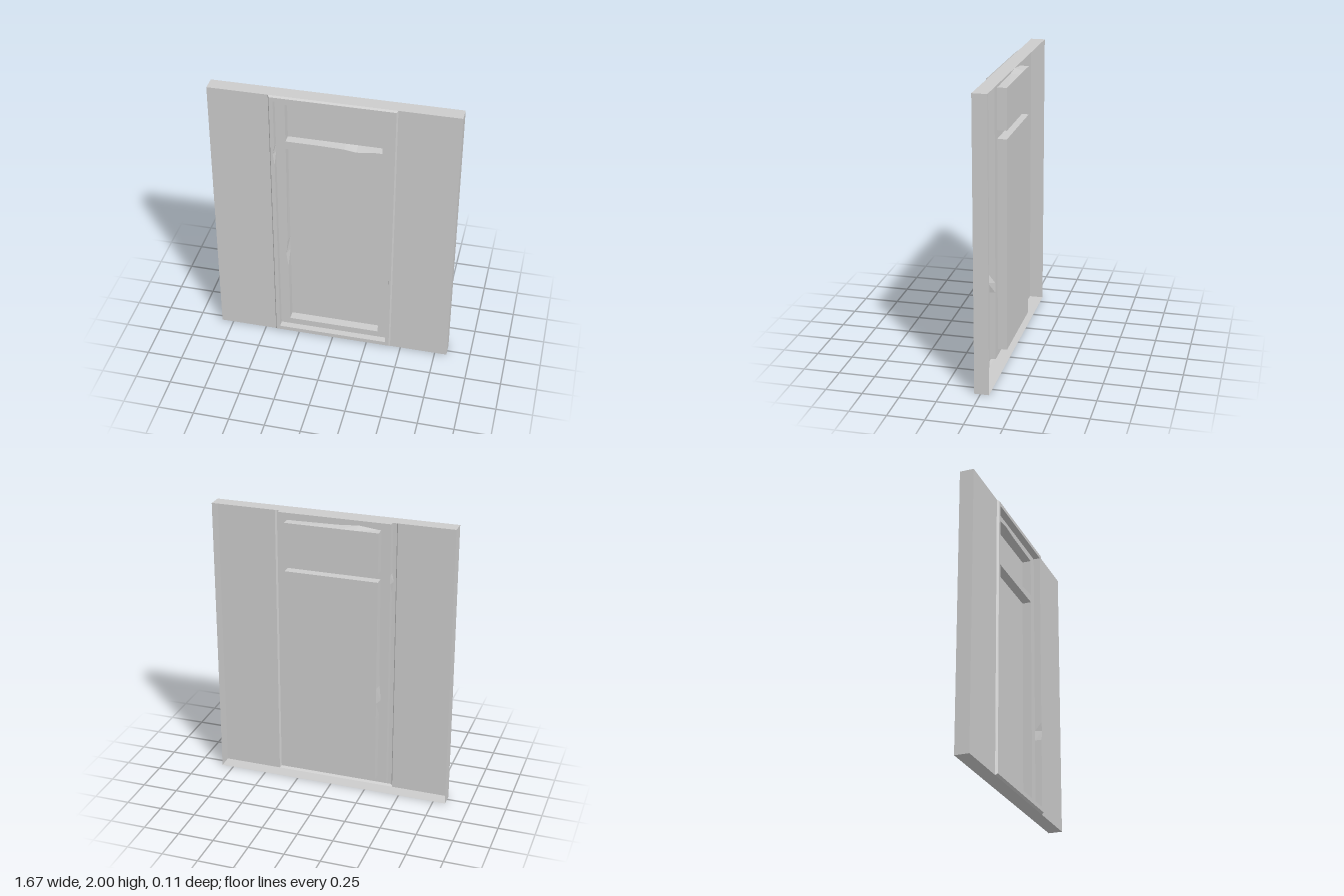
import * as THREE from 'three';

const mat = new THREE.MeshStandardMaterial({ color: 0xcccccc, flatShading: true, side: THREE.DoubleSide });

// Depths of the layers, back to front
const Z = { back: -0.058, panel: -0.056, door: 0.008, wall: 0.041, frame: 0.056 };

// Rectangle outline, counter-clockwise. Chips are [position along side, outward depth].
function outline(x, y0, y1, chips = {}, depth = 1) {
  const { bottom = [], right = [], top = [], left = [] } = chips;
  const p = (a, b) => new THREE.Vector2(a, b);
  return [
    p(-x, y0), ...bottom.map(([t, d]) => p(t, y0 - d * depth)),
    p(x, y0), ...right.map(([t, d]) => p(x + d * depth, t)),
    p(x, y1), ...top.map(([t, d]) => p(t, y1 + d * depth)),
    p(-x, y1), ...left.map(([t, d]) => p(-x - d * depth, t)),
  ];
}

// Band of quads joining two outlines at different depths
function band(name, a, za, b, zb) {
  const pos = [];
  a.forEach((p, i) => {
    const j = (i + 1) % a.length;
    const A = [p.x, p.y, za], B = [b[i].x, b[i].y, zb];
    const C = [b[j].x, b[j].y, zb], D = [a[j].x, a[j].y, za];
    pos.push(...A, ...B, ...C, ...A, ...C, ...D);
  });
  const g = new THREE.BufferGeometry();
  g.setAttribute('position', new THREE.Float32BufferAttribute(pos, 3));
  g.computeVertexNormals();
  return named(name, g);
}

// Flat face filling an outline, with optional holes
function face(name, points, z, holes = []) {
  const s = new THREE.Shape(points);
  holes.forEach((h) => s.holes.push(new THREE.Path(h)));
  return named(name, new THREE.ShapeGeometry(s).translate(0, 0, z));
}

function named(name, geometry) {
  const m = new THREE.Mesh(geometry, mat);
  m.name = name;
  return m;
}

export function createModel() {
  const model = new THREE.Group();
  model.name = 'doorInWall';

  // Wall: open-backed shell with a flat face on each side of the door
  const W = 0.835, F = 0.425;
  const wallEdge = outline(W, 0, 2);
  model.add(band('wallEdges', wallEdge, Z.wall, wallEdge, Z.back));
  for (const s of [-1, 1]) {
    const g = new THREE.PlaneGeometry(W - F, 2).translate(s * (W + F) / 2, 1, Z.wall);
    model.add(named(s < 0 ? 'wallRight' : 'wallLeft', g));
  }

  // Door frame: bevelled outer rim, flat front, chipped inner edge
  const frameChips = {
    right: [[0.53, 0], [0.6, 0.012], [0.66, 0]],
    left: [[1.61, 0], [1.55, 0.011], [1.47, 0]],
  };
  const rim = outline(0.416, 0.012, 1.992);
  const opening = outline(0.39, 0.042, 1.965, frameChips);
  const doorEdge = outline(0.39, 0.042, 1.965, frameChips, 0);
  model.add(band('frameBevel', rim, Z.frame, outline(F, 0, 2), Z.wall));
  model.add(face('frameFront', rim, Z.frame, [opening]));
  model.add(band('frameReveal', doorEdge, Z.door, opening, Z.frame));

  // Door: two sunken panels whose front edges are chipped
  const panels = [
    {
      name: 'upperPanel', y0: 1.635, y1: 1.917,
      chips: {
        bottom: [[-0.11, 0], [0.07, 0.004], [0.15, 0.016], [0.27, 0]],
        top: [[0.27, 0], [-0.05, 0.006], [-0.17, 0.016], [-0.31, 0]],
      },
    },
    {
      name: 'lowerPanel', y0: 0.09, y1: 1.577,
      chips: { left: [[1.42, 0], [0.8, 0.004], [0.69, 0.015], [0.58, 0.003], [0.2, 0]] },
    },
  ];
  const holes = panels.map(({ name, y0, y1, chips }) => {
    const front = outline(0.325, y0, y1, chips);
    const back = outline(0.325, y0, y1, chips, 0);
    model.add(band(name + 'Sides', back, Z.panel, front, Z.door));
    model.add(face(name, outline(0.325, y0, y1), Z.panel));
    return front;
  });
  model.add(face('doorFace', doorEdge, Z.door, holes));

  return model;
}
